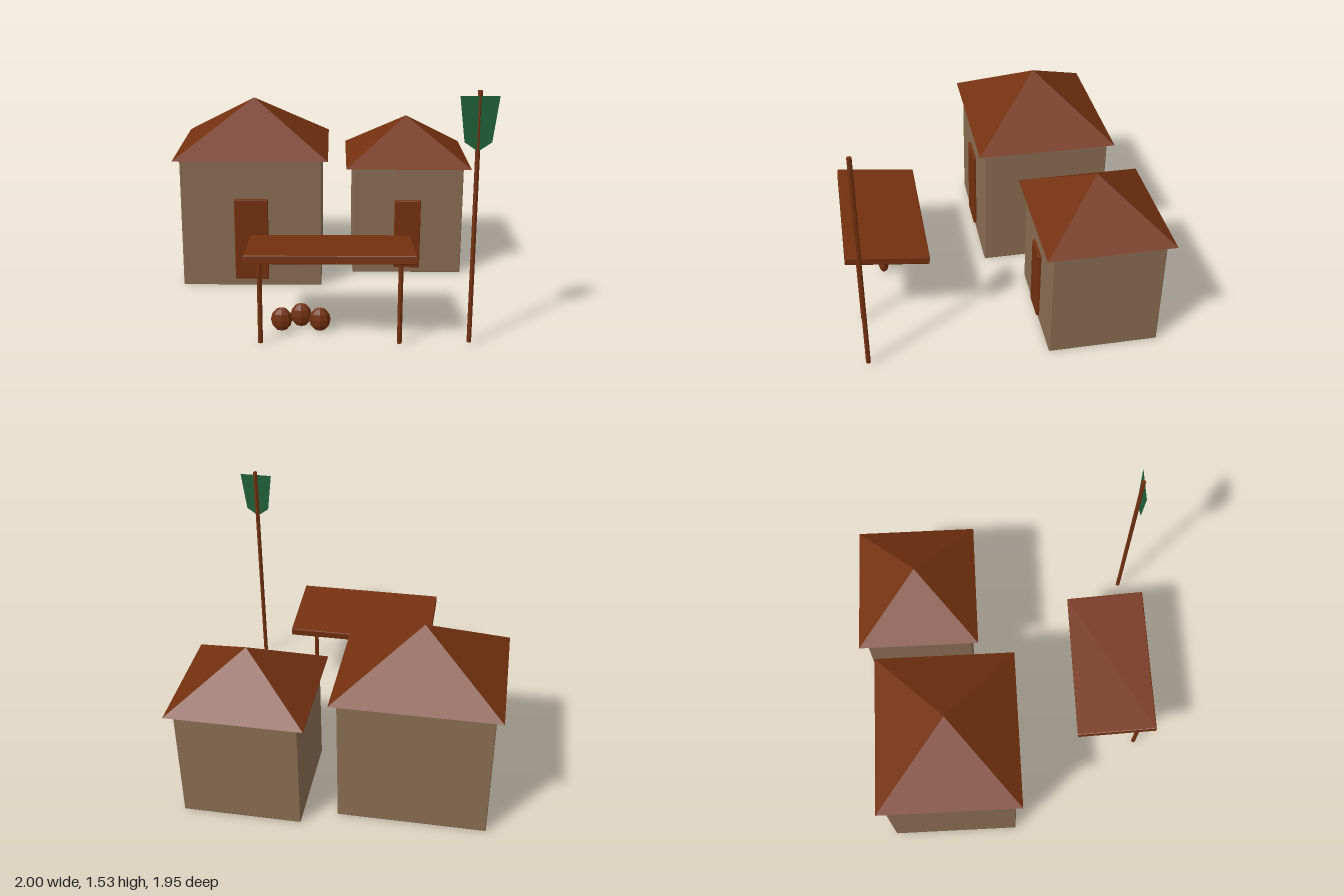
import * as THREE from 'three';
import { RoundedBoxGeometry } from 'three/addons/geometries/RoundedBoxGeometry.js';

export function createModel() {
  const model = new THREE.Group();
  model.name = 'village';

  const plaster = new THREE.MeshStandardMaterial({ color: 0x8a6d52 });
  plaster.name = 'plaster';
  const wood = new THREE.MeshStandardMaterial({ color: 0x74310f });
  wood.name = 'wood';
  const cloth = new THREE.MeshStandardMaterial({ color: 0x20613a, side: THREE.DoubleSide });
  cloth.name = 'greenCloth';

  // Faceted normals for the low-poly look
  const faceted = (geometry) => {
    const flat = geometry.index ? geometry.toNonIndexed() : geometry;
    flat.computeVertexNormals();
    return flat;
  };
  const add = (parent, name, geometry, material, x, y, z) => {
    const mesh = new THREE.Mesh(faceted(geometry), material);
    mesh.name = name;
    mesh.position.set(x, y, z);
    parent.add(mesh);
    return mesh;
  };
  const box = (w, h, d) => new RoundedBoxGeometry(w, h, d, 1, 0.006);
  const pole = (r, h) => new THREE.CylinderGeometry(r, r, h, 6);

  // Houses: box walls, pyramid roof, door on the front
  const houses = [
    { name: 'largeHouse', x: -0.488, z: -0.408, w: 0.935, d: 0.83, top: 0.885,
      roofW: 1.023, roofD: 0.907, peak: 1.22, doorW: 0.225, doorLow: 0.055, doorTop: 0.62 },
    { name: 'smallHouse', x: 0.572, z: -0.583, w: 0.755, d: 0.70, top: 0.768,
      roofW: 0.85, roofD: 0.79, peak: 1.057, doorW: 0.18, doorLow: 0.047, doorTop: 0.538 },
  ];
  for (const h of houses) {
    const house = new THREE.Group();
    house.name = h.name;
    house.position.set(h.x, 0, h.z);
    model.add(house);
    add(house, 'walls', box(h.w, h.top - 0.005, h.d), plaster, 0, (h.top + 0.005) / 2, 0);

    const roof = new THREE.ConeGeometry(Math.SQRT1_2, h.peak - h.top, 4);
    roof.rotateY(Math.PI / 4).scale(h.roofW, 1, h.roofD);
    add(house, 'roof', roof, wood, 0, (h.peak + h.top) / 2, 0);

    add(house, 'door', box(h.doorW, h.doorTop - h.doorLow, 0.04), wood,
      0, (h.doorTop + h.doorLow) / 2, h.d / 2);
  }

  // Tilted canopy on two posts
  const canopy = new THREE.Group();
  canopy.name = 'canopy';
  model.add(canopy);
  const board = add(canopy, 'canopyTop', box(0.995, 0.053, 0.525), wood, 0.043, 0.533, 0.711);
  board.rotation.x = -0.12;
  for (const x of [-0.37, 0.453]) {
    add(canopy, 'post', pole(0.016, 0.5), wood, x, 0.26, 0.89);
  }

  // Three staggered faceted casks under the canopy
  [[-0.253, 0.717], [-0.136, 0.652], [-0.02, 0.717]].forEach(([x, z]) => {
    const cask = new THREE.SphereGeometry(1, 8, 6);
    cask.scale(0.065, 0.077, 0.038);
    add(model, 'cask', cask, wood, x, 0.081, z);
  });

  // Tall pole with a hanging pointed banner
  add(model, 'bannerPole', pole(0.0145, 1.51), wood, 0.864, 0.775, 0.888);
  const outline = [[-0.11, 1.502], [-0.077, 1.24], [0, 1.186], [0.077, 1.24], [0.11, 1.502]];
  const banner = new THREE.Shape(outline.map(([x, y]) => new THREE.Vector2(x, y)));
  add(model, 'banner', new THREE.ShapeGeometry(banner), cloth, 0.864, 0, 0.899);

  return model;
}
